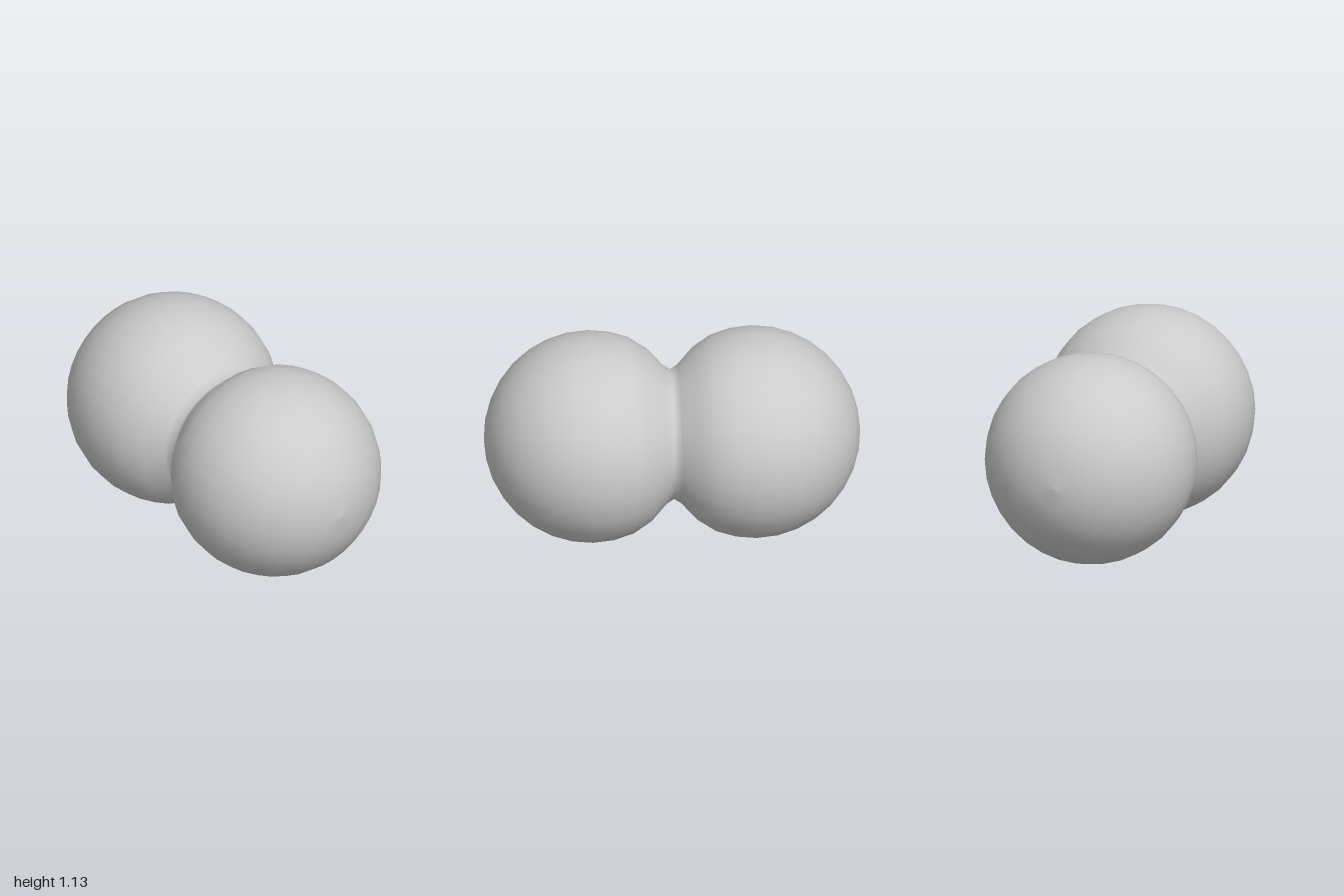
import * as THREE from 'three';

const RADIUS = 0.565, OFFSET = 0.435, CENTRE_Y = 0.567, STEP = Math.PI / 16;

export function createModel() {
  const group = new THREE.Group();
  group.name = 'twinSphere';

  // Half profile (radius, distance along axis): round lobe, then a soft pinch into the waist
  const half = [];
  for (let i = 0; i <= 10; i++) {
    const a = Math.PI - i * STEP;
    half.push([RADIUS * Math.sin(a), -OFFSET + RADIUS * Math.cos(a)]);
  }
  half[0][0] = 0;
  half.push([0.459, -0.121], [0.37, -0.04]);

  // Mirror the lobe about the waist
  const points = [
    ...half,
    [0.345, 0],
    ...half.map(([r, d]) => [r, -d]).reverse(),
  ].map(([r, d]) => new THREE.Vector2(r, d));

  // Revolve around the left-right axis
  const geometry = new THREE.LatheGeometry(points, 32);
  geometry.rotateZ(-Math.PI / 2);

  const body = new THREE.Mesh(geometry, new THREE.MeshStandardMaterial({ color: 0xcccccc }));
  body.name = 'fusedLobes';
  body.position.y = CENTRE_Y;
  group.add(body);
  return group;
}
